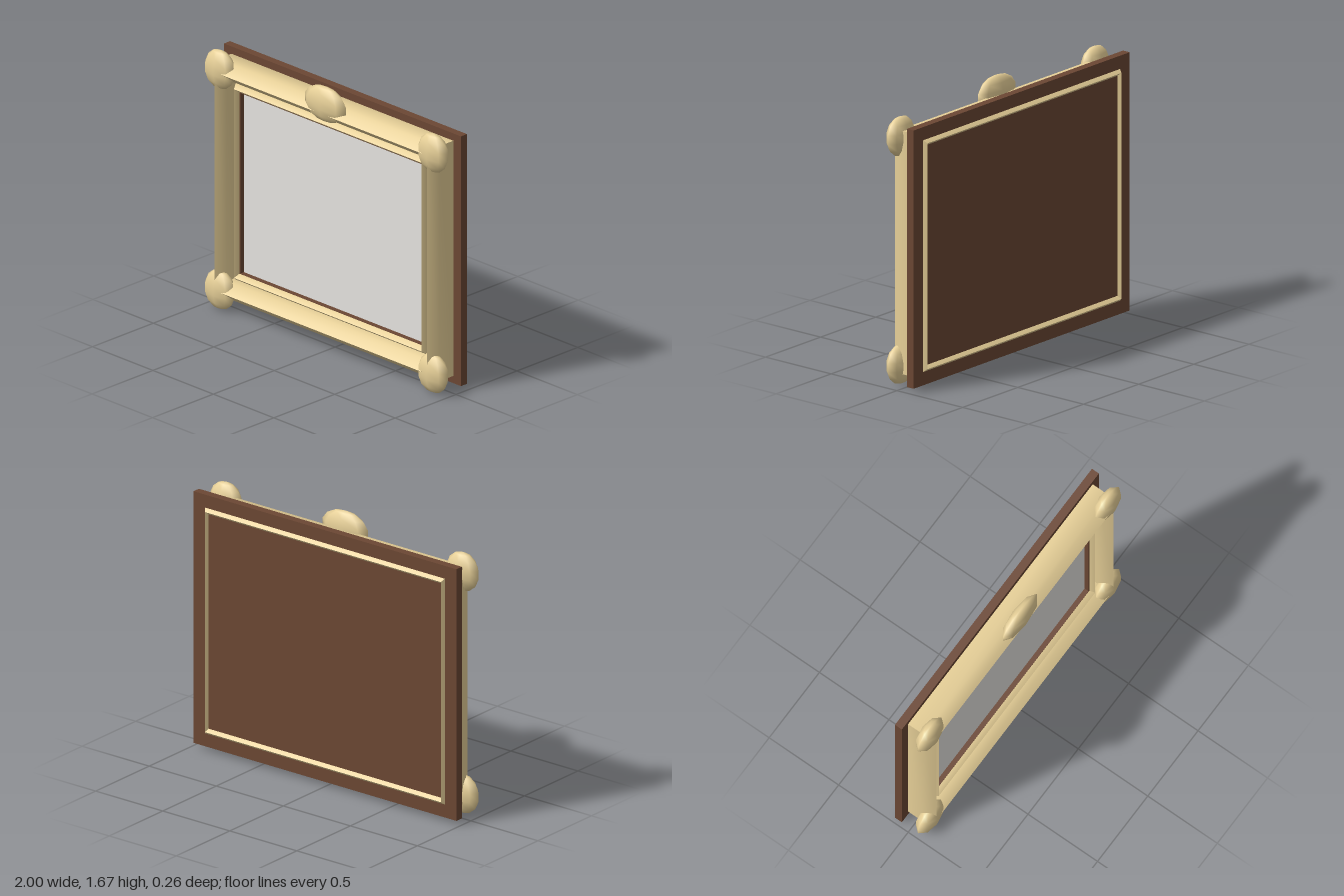
import * as THREE from 'three';
import { toCreasedNormals } from 'three/addons/utils/BufferGeometryUtils.js';

const MID_Y = 0.82;

// Mitred rectangular ring with a six-sided bar section, crest to front and back.
// hx, hy: crest half sizes; wx, wy: bar half widths; cz, depth: section centre and half depth
function ringGeometry(hx, hy, wx, wy, cz, depth) {
  const corners = [[1, -1], [1, 1], [-1, 1], [-1, -1]];
  const sides = 6, positions = [], index = [];
  corners.forEach(([sx, sy], j) => {
    for (let k = 0; k < sides; k++) {
      const a = Math.PI / 6 + (k / sides) * Math.PI * 2;
      const out = Math.cos(a) / Math.cos(Math.PI / 6);
      positions.push(sx * (hx + out * wx), sy * (hy + out * wy), cz + depth * Math.sin(a));
      const n = ((j + 1) % 4) * sides, m = j * sides, k1 = (k + 1) % sides;
      index.push(m + k, n + k, n + k1, m + k, n + k1, m + k1);
    }
  });
  const geo = new THREE.BufferGeometry();
  geo.setAttribute('position', new THREE.Float32BufferAttribute(positions, 3));
  geo.setIndex(index);
  return toCreasedNormals(geo, Math.PI / 3);
}

// Flat rectangular frame: outer and inner half sizes, extruded forward
function lipGeometry(ox, oy, ix, iy, depth) {
  const rect = (P, x, y) => new P([[-x, -y], [x, -y], [x, y], [-x, y]].map(([a, b]) => new THREE.Vector2(a, b)));
  const shape = rect(THREE.Shape, ox, oy);
  shape.holes.push(rect(THREE.Path, ix, iy));
  return new THREE.ExtrudeGeometry(shape, { depth, bevelEnabled: false });
}

export function createModel() {
  const model = new THREE.Group();
  model.name = 'pictureFrame';

  const gold = new THREE.MeshStandardMaterial({ color: 0xe6cf97 });
  gold.name = 'paleGold';
  const wood = new THREE.MeshStandardMaterial({ color: 0x6b4733 });
  wood.name = 'brownWood';
  const canvas = new THREE.MeshStandardMaterial({ color: 0xe5e3df });
  canvas.name = 'greyCanvas';

  const add = (name, geometry, material, x, y, z) => {
    const mesh = new THREE.Mesh(geometry, material);
    mesh.name = name;
    mesh.position.set(x, y, z);
    model.add(mesh);
    return mesh;
  };

  // Backing board, picture surface and the thin lip around it
  add('backBoard', new THREE.BoxGeometry(1.96, 1.58, 0.05), wood, 0, MID_Y, -0.085);
  add('picture', new THREE.BoxGeometry(1.51, 1.15, 0.008), canvas, 0, MID_Y, -0.004);
  add('pictureLip', lipGeometry(0.77, 0.585, 0.754, 0.571, 0.09), wood, 0, MID_Y, -0.06);

  // Outer moulding runs through the board and shows as a ridge on the back
  add('outerMoulding', ringGeometry(0.88, 0.691, 0.038, 0.053, -0.007, 0.124), gold, 0, MID_Y, 0);
  add('innerMoulding', ringGeometry(0.777, 0.597, 0.016, 0.023, 0, 0.06), gold, 0, MID_Y, 0);

  // Flattened, faceted-outline knobs at the corners and the top crest
  const knob = new THREE.SphereGeometry(1, 8, 7);
  for (const sx of [-1, 1]) {
    for (const sy of [-1, 1]) {
      const name = (sy > 0 ? 'top' : 'bottom') + (sx > 0 ? 'Left' : 'Right') + 'CornerKnob';
      add(name, knob, gold, sx * 0.882, MID_Y + sy * 0.697, 0.07).scale.set(0.121, 0.122, 0.058);
    }
  }
  add('topCrest', knob, gold, 0, 1.564, 0.08).scale.set(0.174, 0.111, 0.051);

  return model;
}
